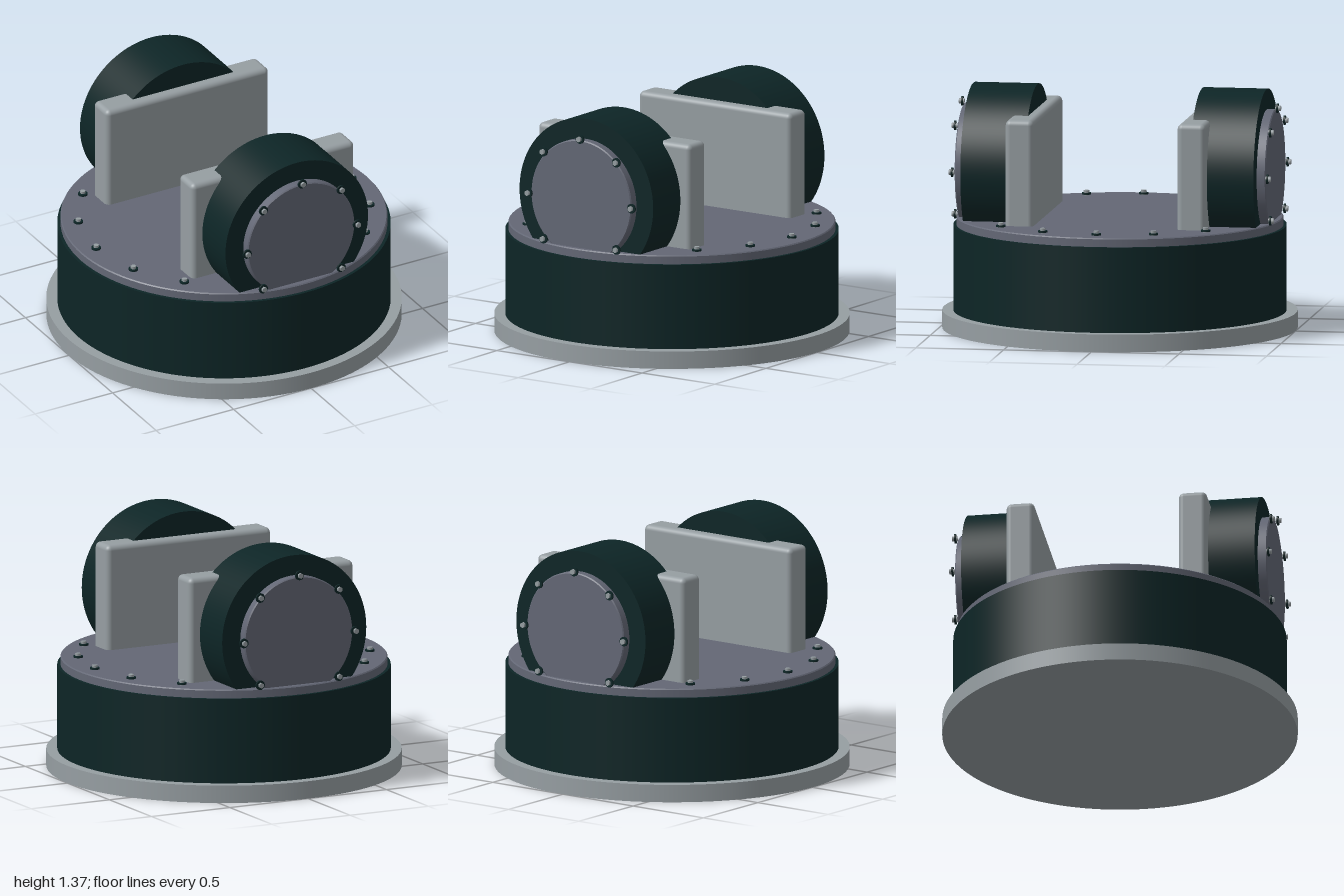
import * as THREE from 'three';
import { RoundedBoxGeometry } from 'three/addons/geometries/RoundedBoxGeometry.js';

const paleGrey = new THREE.MeshStandardMaterial({ name: 'pale grey', color: 0x969ea2 });
const slate = new THREE.MeshStandardMaterial({ name: 'slate', color: 0x636775 });
const darkTeal = new THREE.MeshStandardMaterial({ name: 'dark teal', color: 0x0d2526 });

function add(parent, name, geometry, material) {
  const mesh = new THREE.Mesh(geometry, material);
  mesh.name = name;
  parent.add(mesh);
  return mesh;
}

// Upright disc spanning y0 to y1
function disc(parent, name, radius, y0, y1, material, sides = 96) {
  const mesh = add(parent, name, new THREE.CylinderGeometry(radius, radius, y1 - y0, sides), material);
  mesh.position.y = (y0 + y1) / 2;
  return mesh;
}

// Disc with a narrow bevel around its upper edge
function bevelledDisc(parent, name, radius, y0, y1, material, bevel = 0.006) {
  disc(parent, name, radius, y0, y1 - bevel, material);
  const rim = add(parent, name + 'Bevel',
    new THREE.CylinderGeometry(radius - bevel, radius, bevel, 96), material);
  rim.position.y = y1 - bevel / 2;
}

// Ring of bolts, each a dark washer with a pale hexagonal head
function boltRing(parent, radius, y, count, keep = () => true) {
  for (let i = 0; i < count; i++) {
    if (!keep(i)) continue;
    const a = (i / count) * Math.PI * 2;
    const bolt = new THREE.Group();
    bolt.name = 'bolt';
    bolt.position.set(Math.cos(a) * radius, y, Math.sin(a) * radius);
    disc(bolt, 'washer', 0.027, 0.004, 0.014, darkTeal, 20);
    disc(bolt, 'boltHead', 0.016, -0.002, 0.028, paleGrey, 6);
    parent.add(bolt);
  }
}

// Bracket with a capped drum lying along z, facing +z
function createDrumUnit() {
  const unit = new THREE.Group();
  unit.name = 'drumUnit';

  const bracket = add(unit, 'bracket', new RoundedBoxGeometry(1.05, 0.665, 0.16, 4, 0.03), paleGrey);
  bracket.position.set(0, 0.9025, 0.49);

  const drum = new THREE.Group();
  drum.name = 'drum';
  drum.position.y = 0.91;
  drum.rotation.x = Math.PI / 2;
  disc(drum, 'drumShell', 0.46, 0.47, 0.835, darkTeal);
  bevelledDisc(drum, 'drumCap', 0.345, 0.835, 0.887, slate);
  // The lowest bolt sits below the deck and is left out
  boltRing(drum, 0.355, 0.889, 8, (i) => i !== 2);
  unit.add(drum);
  return unit;
}

export function createModel() {
  const model = new THREE.Group();
  model.name = 'drumMachine';

  // Stacked round base
  disc(model, 'baseFlange', 1, 0, 0.1, paleGrey, 128);
  disc(model, 'body', 0.938, 0.1, 0.585, darkTeal, 128);
  bevelledDisc(model, 'deck', 0.92, 0.585, 0.635, slate);

  // Deck bolts, skipping those beneath the drums
  boltRing(model, 0.825, 0.635, 16, (i) => i % 8 < 3 || i % 8 > 5);

  // Matching drum units at front and back
  for (const turn of [0, Math.PI]) {
    const unit = createDrumUnit();
    unit.rotation.y = turn;
    model.add(unit);
  }
  return model;
}
